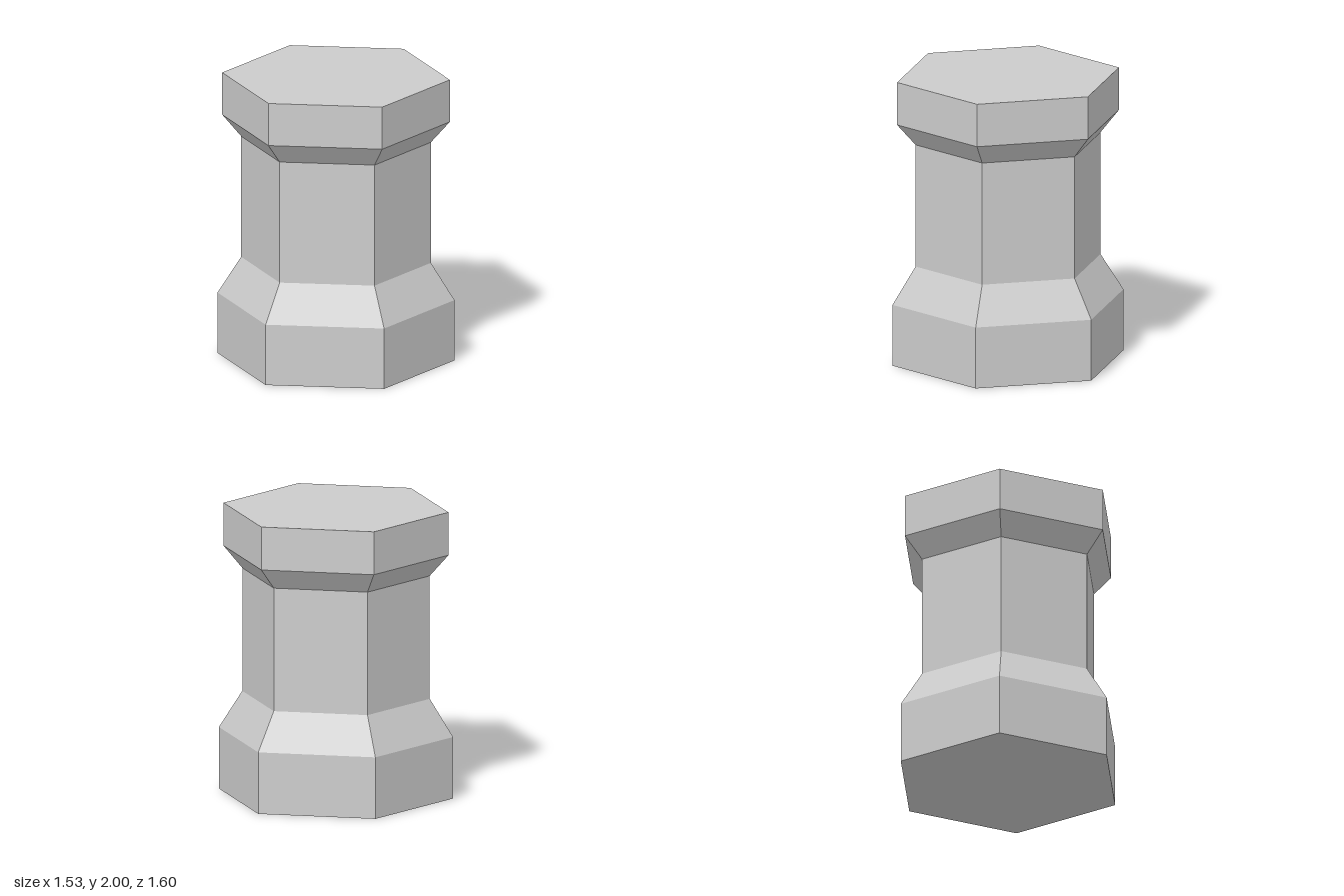
import * as THREE from 'three';

export function createModel() {
  const model = new THREE.Group();
  model.name = 'hexagonalPedestal';
  const stone = new THREE.MeshStandardMaterial({ color: 0xcccccc, flatShading: true });
  stone.name = 'grey stone';

  const sides = 6;
  const turn = THREE.MathUtils.degToRad(-10);
  const baseR = 0.812, shaftR = 0.65, capR = 0.78;

  // One six-sided band from y0 to y1; closed ends only where they are exposed
  function band(name, r0, r1, y0, y1, openEnded = true) {
    const geometry = new THREE.CylinderGeometry(r1, r0, y1 - y0, sides, 1, openEnded, turn);
    const mesh = new THREE.Mesh(geometry, stone);
    mesh.name = name;
    mesh.position.y = (y0 + y1) / 2;
    model.add(mesh);
  }

  // Flat hexagonal end face, facing up or down
  function endFace(name, r, y, up) {
    const geometry = new THREE.CircleGeometry(r, sides, turn - Math.PI / 2);
    geometry.rotateX(-Math.PI / 2);
    if (!up) geometry.rotateX(Math.PI).rotateY(2 * turn);
    const mesh = new THREE.Mesh(geometry, stone);
    mesh.name = name;
    mesh.position.y = y;
    model.add(mesh);
  }

  // Foot, shaft and head
  band('base', baseR, baseR, 0, 0.43);
  band('baseSlope', baseR, shaftR, 0.43, 0.69);
  band('shaft', shaftR, shaftR, 0.69, 1.55);
  band('capFlare', shaftR, capR, 1.55, 1.7);
  band('cap', capR, capR, 1.7, 2);
  endFace('baseUnderside', baseR, 0, false);
  endFace('capTop', capR, 2, true);

  return model;
}
